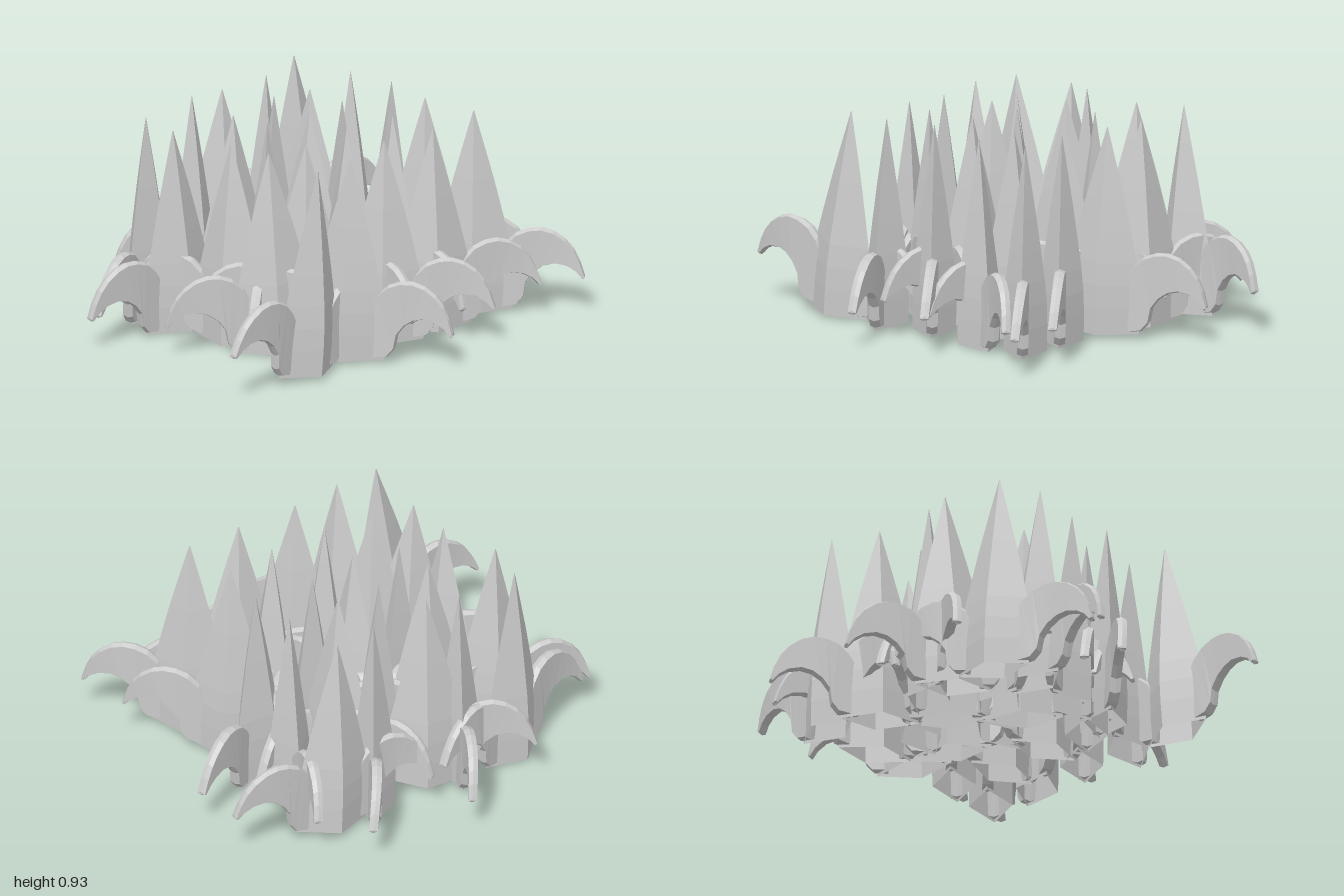
import * as THREE from 'three';

const material = new THREE.MeshStandardMaterial({ color: 0xcccccc, flatShading: true, side: THREE.DoubleSide });

// Skin a list of equal-sized rings, optionally closing both ends
function loft(rings, capped) {
  const n = rings[0].length, pos = rings.flat(2), idx = [];
  const last = (rings.length - 1) * n;
  for (let i = 0; i < rings.length - 1; i++) {
    for (let k = 0; k < n; k++) {
      const a = i * n + k, b = i * n + (k + 1) % n;
      idx.push(a, a + n, b, b, a + n, b + n);
    }
  }
  for (let k = 1; capped && k < n - 1; k++) {
    idx.push(0, k, k + 1, last, last + k + 1, last + k);
  }
  const g = new THREE.BufferGeometry();
  g.setAttribute('position', new THREE.Float32BufferAttribute(pos, 3));
  g.setIndex(idx);
  g.computeVertexNormals();
  return g;
}

// Upright spike: hollow rhombic section tapering to a point, open at the bottom
function spikeGeometry() {
  const profile = [[0, 0.172], [0.12, 0.175], [0.22, 0.17], [0.32, 0.155], [0.45, 0.125], [0.6, 0.088], [0.75, 0.047], [0.91, 0.002]];
  return loft(profile.map(([y, r]) => [[r, y, 0], [0, y, r * 0.55], [-r, y, 0], [0, y, -r * 0.55]]), false);
}

// Drooping side blade: a thin arched crescent, given by its outer and inner edges
function bladeGeometry() {
  const curve = (pts) => new THREE.CatmullRomCurve3(pts.map(([x, y]) => new THREE.Vector3(x, y, 0)));
  const outer = curve([[0.1, 0.24], [0.16, 0.33], [0.24, 0.37], [0.32, 0.37], [0.4, 0.325], [0.45, 0.26], [0.485, 0.165]]);
  const inner = curve([[0.13, 0.015], [0.205, 0.035], [0.225, 0.125], [0.28, 0.19], [0.35, 0.215], [0.43, 0.195], [0.475, 0.15]]);
  const rings = [], steps = 9;
  for (let i = 0; i <= steps; i++) {
    const t = i / steps, o = outer.getPoint(t), u = inner.getPoint(t);
    const z = -0.016 * Math.sin(Math.PI * t), w = 0.025 - 0.006 * t, d = 0.01;
    rings.push([
      [o.x, o.y - d, z + w], [o.x, o.y, z], [o.x, o.y - d, z - w],
      [u.x, u.y, z - w], [u.x, u.y - d * 0.8, z], [u.x, u.y, z + w],
    ]);
  }
  return loft(rings, true);
}

// Each tuft: x, z, the direction (dx, dz) of its first side blade, and how far that blade is tipped up
const TUFTS = [
  [-0.45, -0.51, -93, 30, -0.03], [-0.18, -0.5, 40, -80, -0.04], [-0.02, -0.49, -72, -40, 0],
  [0.27, -0.51, 46, -68, 0], [0.53, -0.57, 82, 9, 0.03],
  [-0.48, -0.29, -88, -12, -0.04], [-0.2, -0.24, -95, -30, 0], [0.08, -0.27, 70, -45, 0],
  [0.28, -0.25, -37, -81, 0], [0.55, -0.27, 29, -85, 0],
  [-0.43, -0.02, 25, 82, 0], [-0.17, -0.06, 65, -50, 0], [0.04, -0.01, 20, 85, 0],
  [0.28, -0.05, 75, -40, 0], [0.55, -0.03, 80, -38, -0.03],
  [-0.39, 0.22, -70, -50, -0.04], [-0.24, 0.25, 60, 60, 0], [0.02, 0.24, -12, 89, 0],
  [0.29, 0.25, -7, 81, 0], [0.54, 0.2, 55, 63, 0],
  [-0.52, 0.53, -92, 4, 0.085], [-0.24, 0.5, 40, 78, -0.02], [0.02, 0.47, 57, 66, 0],
  [0.31, 0.48, 75, 43, 0], [0.58, 0.46, 60, 70, 0],
];

export function createModel() {
  const group = new THREE.Group();
  group.name = 'grassPatch';
  const spikeGeo = spikeGeometry(), bladeGeo = bladeGeometry();

  TUFTS.forEach(([x, z, dx, dz, tilt], i) => {
    const tuft = new THREE.Group();
    tuft.name = 'tuft' + (i + 1);
    tuft.position.set(x, ((i * 7) % 5) * 0.005 + Math.abs(tilt) * 0.2, z);
    tuft.rotation.set(0, -Math.atan2(dz, dx), tilt);

    const spike = new THREE.Mesh(spikeGeo, material);
    spike.name = 'spike';
    tuft.add(spike);

    // Two opposite drooping blades
    for (let s = 0; s < 2; s++) {
      const blade = new THREE.Mesh(bladeGeo, material);
      blade.name = s ? 'backBlade' : 'frontBlade';
      blade.rotation.y = s * Math.PI;
      tuft.add(blade);
    }
    group.add(tuft);
  });
  return group;
}
